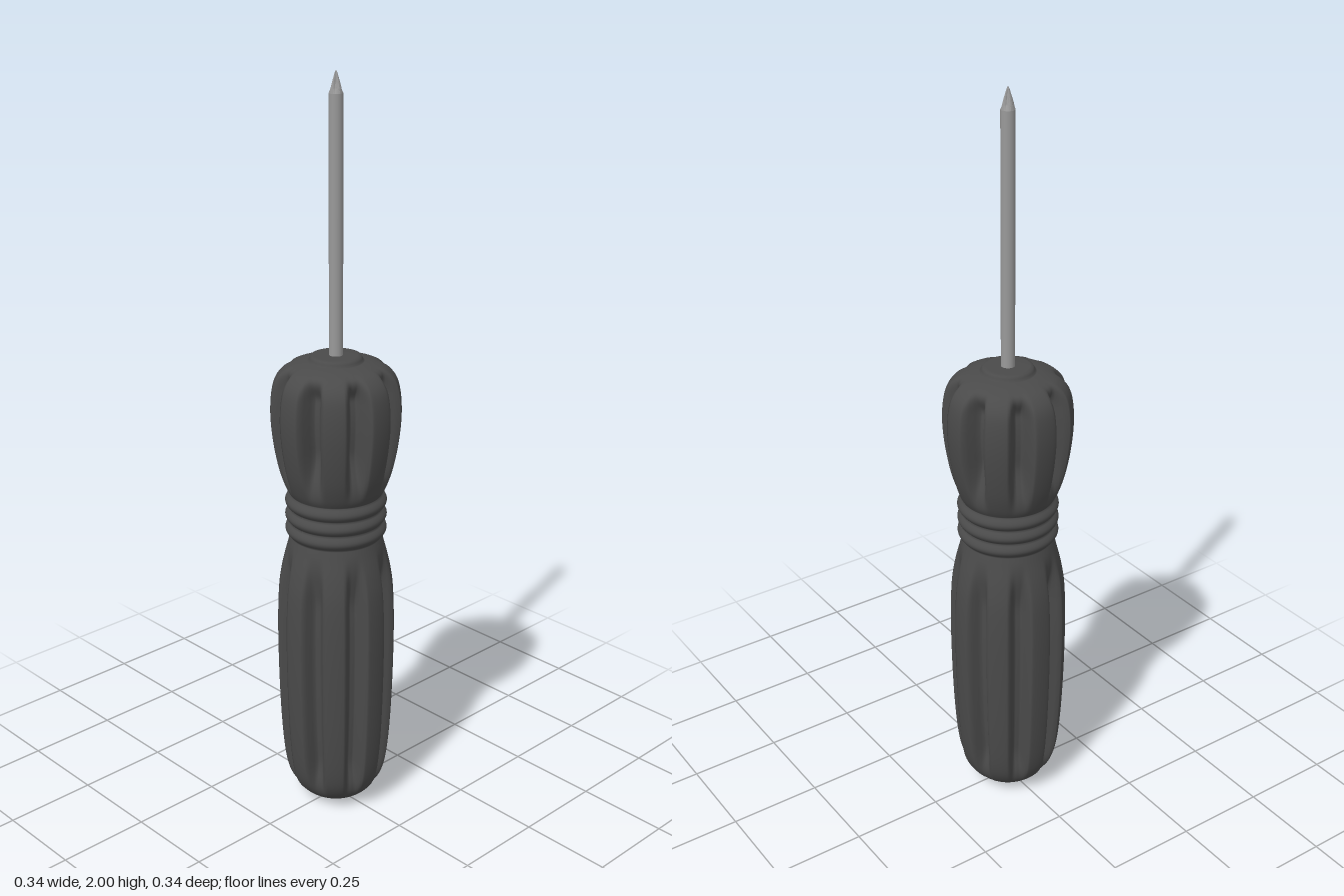
import * as THREE from 'three';

const RIDGES = 8;
const smooth = THREE.MathUtils.smoothstep;
const points = (list) => list.map(([r, y]) => new THREE.Vector2(r, y));
const curve = (list, n) => new THREE.SplineCurve(points(list)).getPoints(n);

// Scale each lathe vertex radially: rule(angle, y, radius) gives the new radius
function reshape(geometry, rule) {
  const p = geometry.attributes.position;
  for (let i = 0; i < p.count; i++) {
    const x = p.getX(i), y = p.getY(i), z = p.getZ(i);
    const r = Math.hypot(x, z);
    if (r < 1e-6) continue;
    const s = rule(Math.atan2(x, z), y, r) / r;
    p.setXYZ(i, x * s, y, z * s);
  }
  geometry.computeVertexNormals();
  return geometry;
}

// Angle from the nearest of n evenly spaced ribs
function ribAngle(angle, n) {
  const step = (Math.PI * 2) / n;
  return Math.abs(angle - Math.round(angle / step) * step);
}

// Finger grooves between the ridges, fading out at the ends of both grips
function fluted(angle, y, r) {
  const across = smooth(ribAngle(angle, RIDGES), 0.185, 0.32);
  const lower = 0.038 * smooth(y, 0.02, 0.16) * (1 - smooth(y, 0.62, 0.78));
  const upper = 0.052 * smooth(y, 0.92, 1.07) * (1 - smooth(y, 1.2, 1.275));
  return r - across * (lower + upper);
}

function handleProfile() {
  const lowerGrip = curve([
    [0, 0], [0.05, 0.006], [0.09, 0.026], [0.122, 0.065], [0.139, 0.12], [0.149, 0.22],
    [0.155, 0.36], [0.157, 0.52], [0.153, 0.64], [0.143, 0.71], [0.128, 0.77], [0.121, 0.797],
  ], 60);
  // Three rounded rings at the waist
  const waist = [];
  for (let i = 1; i < 30; i++) {
    const t = i / 30;
    waist.push(new THREE.Vector2(0.121 + 0.013 * Math.abs(Math.sin(t * Math.PI * 3)), 0.797 + t * 0.118));
  }
  const upperGrip = curve([
    [0.121, 0.915], [0.134, 0.94], [0.15, 0.99], [0.163, 1.06], [0.169, 1.13],
    [0.166, 1.19], [0.155, 1.23], [0.131, 1.257], [0.1, 1.27], [0.07, 1.277],
  ], 50);
  const nose = points([[0.068, 1.283], [0.064, 1.289], [0.056, 1.291], [0, 1.291]]);
  return [...lowerGrip, ...waist, ...upperGrip, ...nose];
}

export function createModel() {
  const group = new THREE.Group();
  const rubber = new THREE.MeshStandardMaterial({ color: 0x4a4a4a });
  const steel = new THREE.MeshStandardMaterial({ color: 0x999999 });
  const facetedSteel = new THREE.MeshStandardMaterial({ color: 0x999999, flatShading: true });

  const add = (name, geometry, material) => {
    const mesh = new THREE.Mesh(geometry, material);
    mesh.name = name;
    group.add(mesh);
    return mesh;
  };

  add('handle', reshape(new THREE.LatheGeometry(handleProfile(), 160), fluted), rubber);

  // Round steel rod
  add('shaft', new THREE.CylinderGeometry(0.018, 0.018, 0.67, 32), steel).position.y = 1.61;

  // Pointed cross tip: four blades with flutes cut between them
  const tip = new THREE.LatheGeometry(
    points([[0.018, 1.945], [0.0155, 1.957], [0.011, 1.972], [0.004, 1.993], [0, 2]]), 32);
  reshape(tip, (angle, y, r) =>
    r * (1 - 0.4 * smooth(ribAngle(angle, 4), 0.2, 0.6) * smooth(y, 1.945, 1.965)));
  add('crossTip', tip, facetedSteel);

  return group;
}
